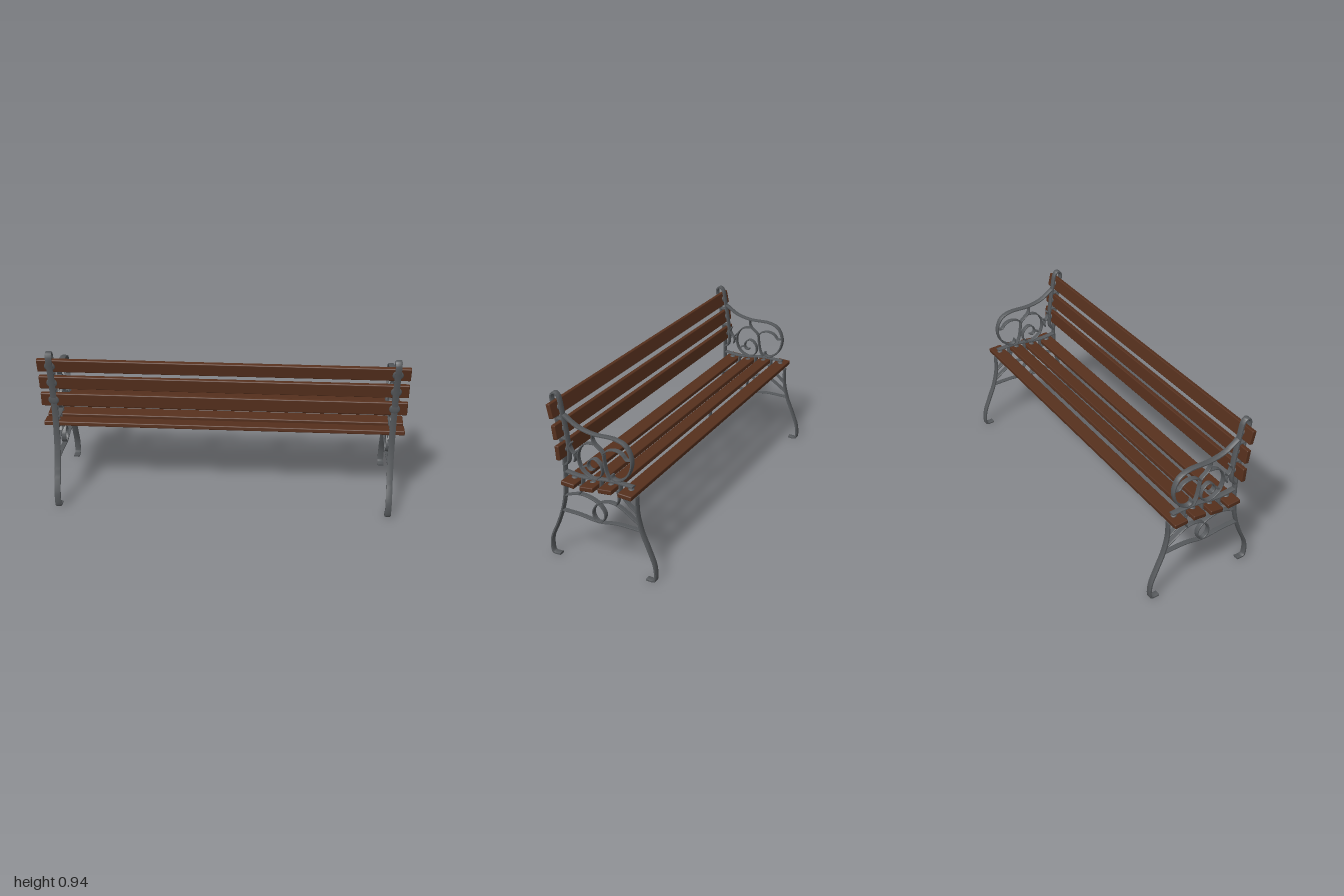
import * as THREE from 'three';
import { RoundedBoxGeometry } from 'three/addons/geometries/RoundedBoxGeometry.js';
import { toCreasedNormals } from 'three/addons/utils/BufferGeometryUtils.js';

const iron = new THREE.MeshStandardMaterial({ color: 0x55585b });
iron.name = 'cast iron';
const wood = new THREE.MeshStandardMaterial({ color: 0x56301d });
wood.name = 'brown wood';

// Chamfered bar profile: [across thickness, across width], as fractions of the half sizes
const PROFILE = [[1, -0.7], [1, 0.7], [0.6, 1], [-0.6, 1], [-1, 0.7], [-1, -0.7], [-0.6, -1], [0.6, -1]];

// Flat iron bar swept along [z, y] points in the plane of the end frame
function bar(name, points, halfThick = 0.005, halfWidth = 0.014) {
  const curve = new THREE.CatmullRomCurve3(points.map(([z, y]) => new THREE.Vector3(0, y, z)), false, 'centripetal');
  const steps = points.length > 2 ? points.length * 6 : 1;
  const n = PROFILE.length, pos = [], index = [];
  for (let i = 0; i <= steps; i++) {
    const p = curve.getPoint(i / steps), t = curve.getTangent(i / steps);
    for (const [a, b] of PROFILE) {
      pos.push(b * halfWidth, p.y - t.z * a * halfThick, p.z + t.y * a * halfThick);
    }
  }
  for (let i = 0; i < steps; i++) {
    for (let j = 0; j < n; j++) {
      const a = i * n + j, b = i * n + (j + 1) % n;
      index.push(a, b, b + n, a, b + n, a + n);
    }
  }
  const end = steps * n;
  for (let j = 1; j < n - 1; j++) {
    index.push(0, j + 1, j, end, end + j, end + j + 1);
  }
  const geo = new THREE.BufferGeometry();
  geo.setAttribute('position', new THREE.Float32BufferAttribute(pos, 3));
  geo.setIndex(index);
  const mesh = new THREE.Mesh(toCreasedNormals(geo, 0.6), iron);
  mesh.name = name;
  return mesh;
}

function endFrame() {
  const g = new THREE.Group();
  const add = (...args) => g.add(bar(...args));

  // Legs; the rear one runs up and folds over into the backrest loop
  add('rearLegAndBackLoop', [[0.26, 0.007], [0.298, 0.007], [0.307, 0.014], [0.31, 0.09], [0.265, 0.2],
    [0.235, 0.285], [0.215, 0.38], [0.208, 0.5], [0.212, 0.6], [0.225, 0.7], [0.248, 0.82], [0.267, 0.92],
    [0.25, 0.937], [0.231, 0.925], [0.211, 0.84], [0.187, 0.7], [0.179, 0.62], [0.187, 0.565], [0.208, 0.548]],
    0.0065, 0.017);
  add('frontLeg', [[-0.258, 0.007], [-0.298, 0.007], [-0.307, 0.014], [-0.305, 0.09], [-0.27, 0.185],
    [-0.233, 0.275], [-0.21, 0.375], [-0.208, 0.465]], 0.0065, 0.017);

  // Seat carrier and backrest rungs
  add('upperSeatRail', [[0.208, 0.512], [0.1, 0.502], [-0.055, 0.52], [-0.19, 0.517]], 0.005, 0.016);
  add('lowerSeatRail', [[0.21, 0.462], [0.1, 0.453], [-0.03, 0.465], [-0.11, 0.477], [-0.212, 0.464]], 0.005, 0.016);
  for (const [z, low, high] of [[0.105, 0.455, 0.5], [-0.005, 0.462, 0.514], [-0.115, 0.477, 0.518]]) {
    add('seatSpacer', [[z, low], [z, high]], 0.005, 0.016);
  }
  add('backRung', [[0.243, 0.8], [0.203, 0.8]], 0.005, 0.016);
  add('backRung', [[0.224, 0.695], [0.187, 0.695]], 0.005, 0.016);

  // Armrest with the scrolls under it
  add('armrest', [[0.203, 0.825], [0.125, 0.777], [0.035, 0.756], [-0.095, 0.754], [-0.155, 0.728],
    [-0.185, 0.655], [-0.165, 0.58], [-0.12, 0.537], [-0.095, 0.53], [-0.073, 0.54], [-0.07, 0.558]],
    0.0055, 0.016);
  add('armScrollStem', [[0.038, 0.755], [0.038, 0.728], [0.025, 0.704], [-0.018, 0.665], [-0.026, 0.62],
    [-0.038, 0.56], [-0.058, 0.52]], 0.004);
  add('armScrollBranch', [[-0.02, 0.66], [-0.045, 0.683], [-0.09, 0.695], [-0.13, 0.683], [-0.155, 0.657],
    [-0.18, 0.66]], 0.004);
  add('armSpiral', [[0.024, 0.704], [0.08, 0.694], [0.115, 0.655], [0.126, 0.604], [0.105, 0.545],
    [0.055, 0.513], [0.015, 0.516], [-0.012, 0.55], [-0.005, 0.595], [0.03, 0.621], [0.06, 0.605],
    [0.07, 0.575], [0.055, 0.556], [0.037, 0.558]], 0.004);
  add('spiralSpur', [[0.098, 0.561], [0.07, 0.575]], 0.004);
  add('leafScroll', [[0.163, 0.683], [0.173, 0.66], [0.15, 0.625], [0.127, 0.645]], 0.004);
  add('leafSpur', [[0.15, 0.625], [0.143, 0.605], [0.148, 0.58]], 0.004);

  // Stretcher, crossing loop and braces between the legs
  add('stretcher', [[0.235, 0.28], [0.13, 0.277], [0.014, 0.265], [-0.09, 0.28], [-0.232, 0.278]], 0.0045);
  add('loopScroll', [[0.217, 0.37], [0.13, 0.398], [0.065, 0.393], [0.005, 0.365], [-0.023, 0.32],
    [-0.013, 0.283], [0.014, 0.266], [0.04, 0.285], [0.048, 0.32], [0.025, 0.363], [-0.03, 0.393],
    [-0.095, 0.39], [-0.225, 0.31]], 0.0045);
  add('rearBrace', [[0.115, 0.454], [0.113, 0.425], [0.13, 0.398]], 0.0045);
  add('frontBrace', [[-0.115, 0.475], [-0.145, 0.43], [-0.211, 0.373]], 0.0045);
  add('middleBrace', [[-0.1, 0.474], [-0.106, 0.43], [-0.092, 0.39]], 0.0045);
  return g;
}

// Domed bolt head pointing along local +z
function bolt(radius, x, z, facing) {
  const mesh = new THREE.Mesh(new THREE.SphereGeometry(radius, 14, 8), iron);
  mesh.name = 'boltHead';
  mesh.scale.z = 0.006 / radius;
  mesh.position.set(x, 0, z * facing);
  return mesh;
}

// Plank with its broad face on local z, bolted at both end frames
function slat(name, y, z, tilt) {
  const g = new THREE.Group();
  g.name = name;
  const plank = new THREE.Mesh(new RoundedBoxGeometry(2, 0.078, 0.025, 2, 0.005), wood);
  plank.name = 'plank';
  g.add(plank);
  for (const x of [-0.93, 0.93]) {
    g.add(bolt(0.03, x, 0.0125, 1), bolt(0.016, x, 0.0125, -1));
  }
  g.position.set(0, y, z);
  g.rotation.x = tilt;
  return g;
}

export function createModel() {
  const model = new THREE.Group();
  model.name = 'parkBench';
  for (const side of [-1, 1]) {
    const frame = endFrame();
    frame.name = side > 0 ? 'leftEndFrame' : 'rightEndFrame';
    frame.position.x = side * 0.93;
    model.add(frame);
  }
  for (const [y, z, tilt] of [[0.859, 0.24, 0.22], [0.749, 0.219, 0.14], [0.639, 0.206, 0.08]]) {
    model.add(slat('backSlat', y, z, tilt));
  }
  // Seat slats lie flat, large bolt heads underneath
  for (const [y, z, tilt] of [[0.474, 0.156, -0.08], [0.474, 0.046, 0.1], [0.488, -0.061, 0.1], [0.488, -0.175, -0.06]]) {
    model.add(slat('seatSlat', y, z, Math.PI / 2 + tilt));
  }
  return model;
}
